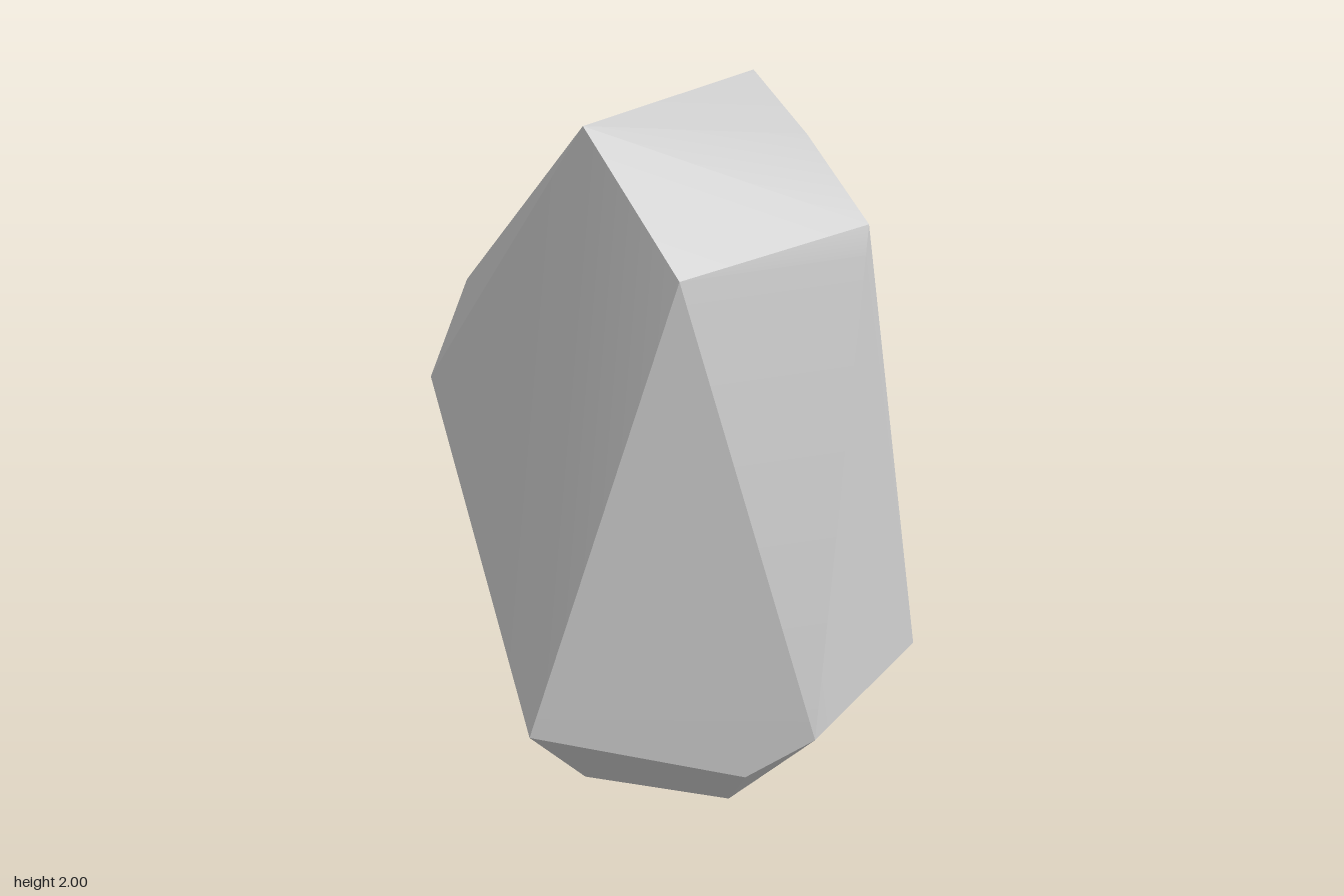
import * as THREE from 'three';
import { ConvexGeometry } from 'three/addons/geometries/ConvexGeometry.js';
import { toCreasedNormals } from 'three/addons/utils/BufferGeometryUtils.js';

// Corner points of the faceted boulder, from the crown down to the foot
const crown = [
  [0.07, 2.0, -0.3], [-0.09, 1.96, 0.24], [0.28, 1.67, 0.355],
  [0.555, 1.74, -0.08], [0.31, 1.9, -0.18], [0.567, 1.67, -0.05],
];
const flank = [
  [-0.58, 1.4, 0.15], [-0.555, 1.36, -0.05], [-0.59, 1.18, -0.07],
  [-0.645, 1.12, 0.255], [-0.67, 0.84, -0.13], [-0.645, 0.79, 0.05],
];
const waist = [
  [0.04, 0.42, 0.705], [0.665, 0.41, 0.27], [0.66, 0.4, -0.3],
  [0.16, 0.44, -0.56], [-0.15, 0.5, -0.71],
];
const foot = [
  [0.52, 0.295, 0.385], [0.54, 0.3, -0.38], [0.03, 0.265, -0.51],
  [-0.355, 0.18, 0.04], [-0.005, 0.075, 0.41], [0.33, 0.05, -0.18], [0.34, 0, 0.18],
];

export function createModel() {
  const points = [...crown, ...flank, ...waist, ...foot].map((p) => new THREE.Vector3(...p));

  // Cut faces stay sharp, shallow bends blend softly
  const geometry = toCreasedNormals(new ConvexGeometry(points), 0.35);
  const boulder = new THREE.Mesh(geometry, new THREE.MeshStandardMaterial({ color: 0xcccccc }));
  boulder.name = 'boulder';

  const group = new THREE.Group();
  group.name = 'rock';
  group.add(boulder);
  return group;
}
